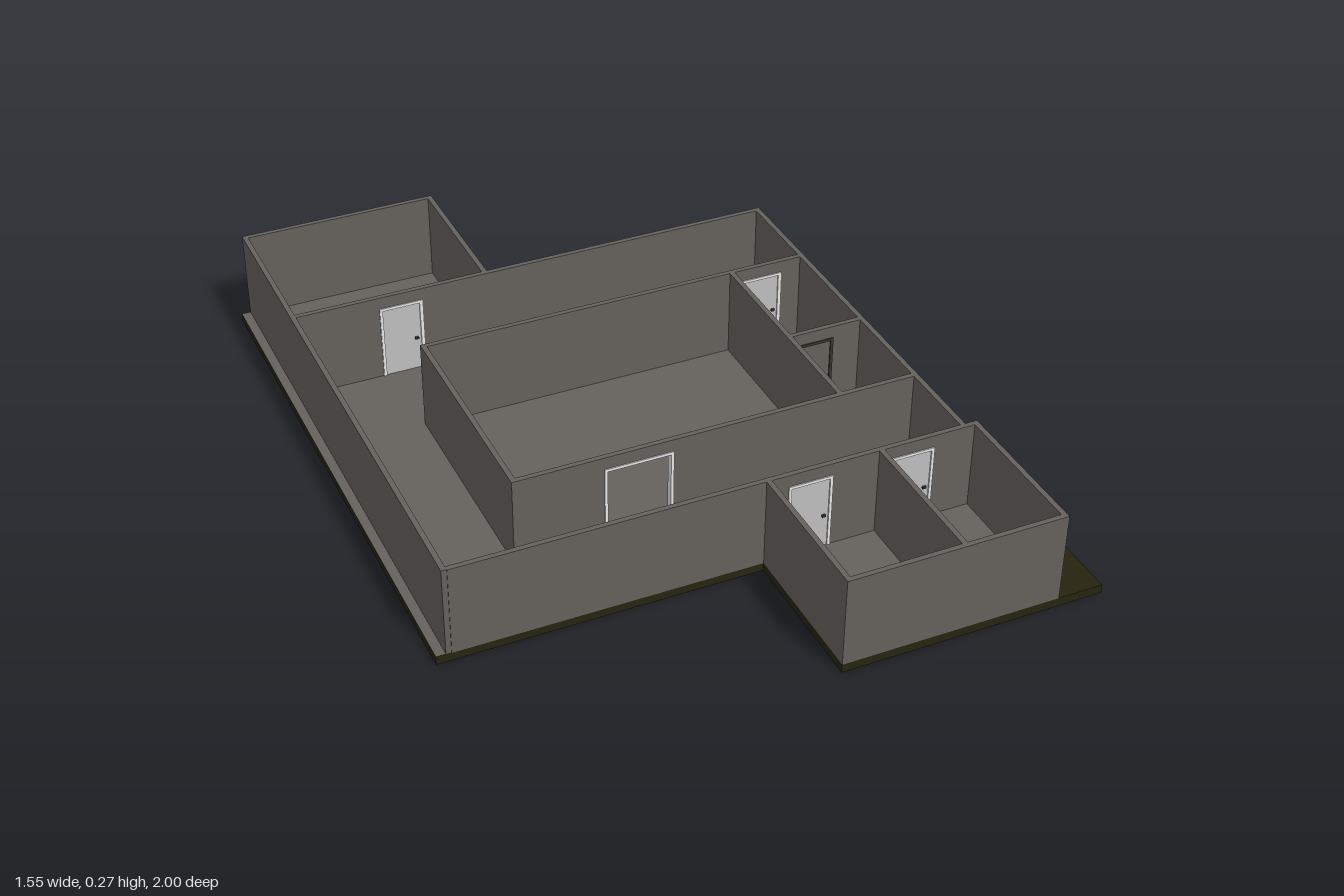
import * as THREE from 'three';

const mat = (name, color) => {
  const m = new THREE.MeshStandardMaterial({ color });
  m.name = name;
  return m;
};

const BASE = 0.024, TOP = 0.272, DOOR_TOP = 0.238, T = 0.014;

export function createModel() {
  const model = new THREE.Group();
  model.name = 'floorPlan';
  const plaster = mat('greyPlaster', 0x65615c);
  const slabDark = mat('darkSlab', 0x26240f);
  const frameWhite = mat('whiteFrame', 0xe6e6e6);
  const panelGrey = mat('lightDoor', 0xbebebe);
  const trimDark = mat('darkTrim', 0x383530);

  // Box between two corners
  function box(name, x0, x1, y0, y1, z0, z1, material, parent = model) {
    const mesh = new THREE.Mesh(new THREE.BoxGeometry(x1 - x0, y1 - y0, z1 - z0), material);
    mesh.position.set((x0 + x1) / 2, (y0 + y1) / 2, (z0 + z1) / 2);
    mesh.name = name;
    parent.add(mesh);
    return mesh;
  }

  // Foundation slabs: dark edges, plastered floors
  const edged = [slabDark, slabDark, plaster, plaster, slabDark, slabDark];
  const darkUnder = [slabDark, slabDark, plaster, slabDark, slabDark, slabDark];
  box('mainSlab', -0.777, 0.641, 0, BASE, -0.56, 0.592, edged);
  box('backSlab', -0.777, -0.197, 0, BASE, -1, -0.56, darkUnder);
  box('frontSlab', 0.07, 0.777, 0, BASE, 0.592, 1, slabDark);
  box('frontRoomFloor', 0.08, 0.648, BASE, BASE + 0.003, 0.592, 0.99, plaster);

  // Door casing with optional leaf and handle, on a wall running along x
  function door(a, b, z, leaf, casing) {
    const g = new THREE.Group();
    g.name = 'door';
    model.add(g);
    const f = 0.008, z0 = z - T / 2 - 0.003, z1 = z + T / 2 + 0.003;
    box('leftJamb', a, a + f, BASE, DOOR_TOP, z0, z1, casing, g);
    box('rightJamb', b - f, b, BASE, DOOR_TOP, z0, z1, casing, g);
    box('doorHead', a + f, b - f, DOOR_TOP - f, DOOR_TOP, z0, z1, casing, g);
    if (!leaf) return;
    box('doorLeaf', a + f, b - f, BASE, DOOR_TOP - f, z - 0.006, z + 0.006, leaf, g);
    box('doorHandle', b - 0.026, b - 0.016, 0.118, 0.124, z - 0.012, z + 0.012, trimDark, g);
  }

  // Wall along x, split around doorways given as [start, end, leaf, casing]
  function wallX(name, x0, x1, z, doors = []) {
    const g = new THREE.Group();
    g.name = name;
    model.add(g);
    let x = x0;
    for (const [a, b, leaf, casing] of doors) {
      box('wallPiece', x, a, BASE, TOP, z - T / 2, z + T / 2, plaster, g);
      box('lintel', a, b, DOOR_TOP, TOP, z - T / 2, z + T / 2, plaster, g);
      door(a, b, z, leaf, casing);
      x = b;
    }
    box('wallPiece', x, x1, BASE, TOP, z - T / 2, z + T / 2, plaster, g);
  }
  const wallZ = (name, x, z0, z1) =>
    box(name, x - T / 2, x + T / 2, BASE, TOP, z0, z1, plaster);

  // Outer shell
  wallZ('leftOuterWall', -0.745, -1, 0.592);
  wallZ('rightOuterWall', 0.615, -0.56, 0.592);
  wallX('backOuterWall', -0.738, 0.608, -0.553, [[-0.51, -0.39, panelGrey, frameWhite]]);
  wallX('frontOuterWall', -0.738, 0.655, 0.587,
    [[0.13, 0.25, panelGrey, frameWhite], [0.41, 0.53, panelGrey, frameWhite]]);

  // Back room
  wallX('backRoomEndWall', -0.738, -0.212, -0.993);
  wallZ('backRoomSideWall', -0.205, -1, -0.56);

  // Front rooms
  wallX('frontRoomEndWall', 0.084, 0.641, 0.993);
  wallZ('frontRoomLeftWall', 0.077, 0.594, 1);
  wallZ('frontRoomDivider', 0.382, 0.594, 0.986);
  wallZ('frontRoomRightWall', 0.648, 0.594, 1);

  // Central hall with an open wide doorway, and two small rooms beside it
  wallZ('hallLeftWall', -0.478, -0.292, 0.35);
  wallX('hallBackWall', -0.471, 0.608, -0.285, [[0.43, 0.55, panelGrey, frameWhite]]);
  wallX('hallFrontWall', -0.471, 0.608, 0.343, [[-0.245, -0.06, null, frameWhite]]);
  wallZ('smallRoomWall', 0.403, -0.278, 0.336);
  wallX('smallRoomDivider', 0.41, 0.608, 0.058, [[0.42, 0.53, plaster, trimDark]]);

  return model;
}
